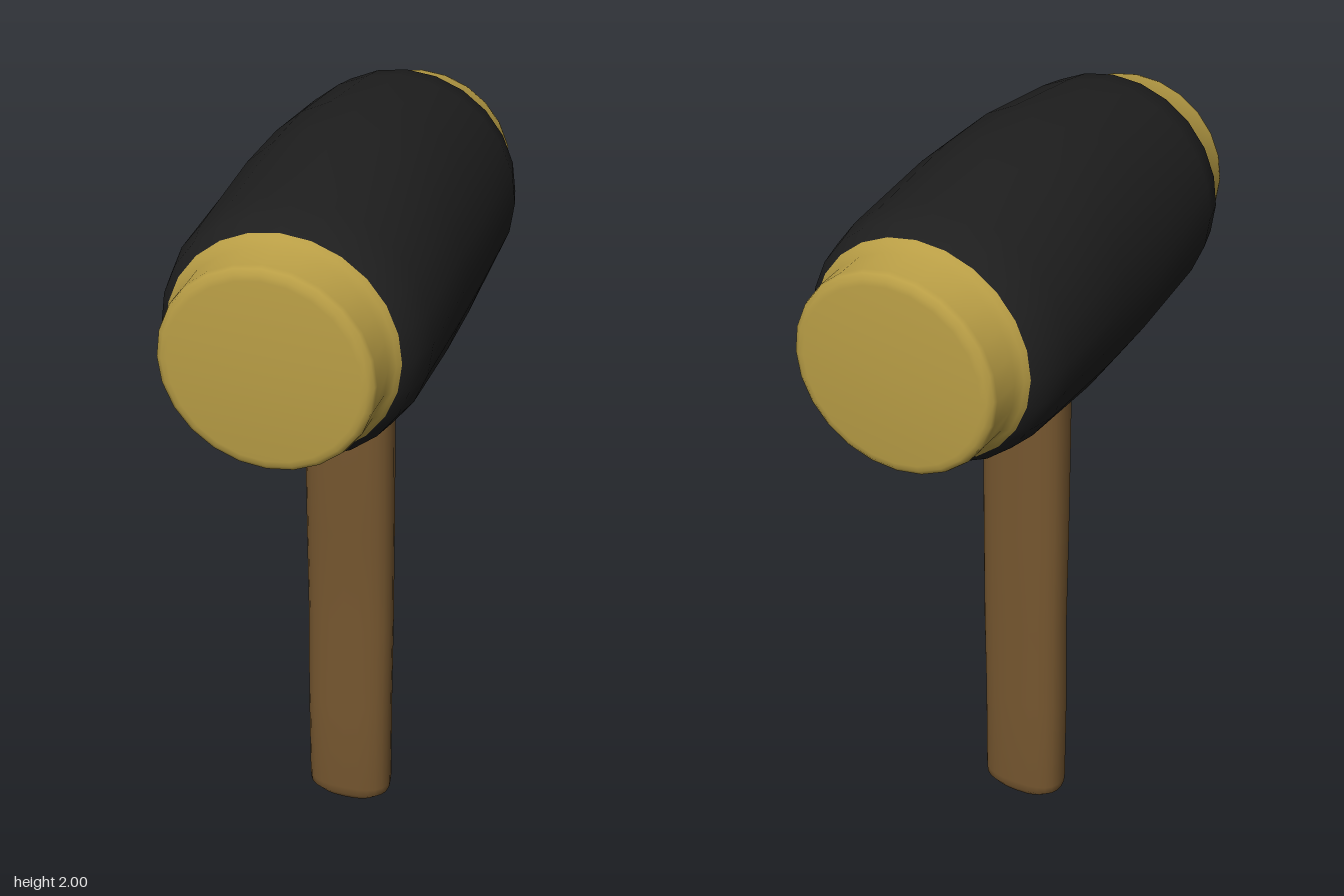
import * as THREE from 'three';
import { toCreasedNormals } from 'three/addons/utils/BufferGeometryUtils.js';

// Loft along z through rings [z, rx, ry, offsetY]; power 2 = ellipse, higher = boxier.
function loft(rings, sides, power, crease) {
  const positions = [], index = [];
  const curve = (c) => Math.sign(c) * Math.pow(Math.abs(c), 2 / power);
  for (const [z, rx, ry, oy = 0] of rings) {
    for (let j = 0; j < sides; j++) {
      const a = (j / sides) * Math.PI * 2;
      positions.push(rx * curve(Math.cos(a)), ry * curve(Math.sin(a)) + oy, z);
    }
  }
  for (let i = 0; i < rings.length - 1; i++) {
    for (let j = 0; j < sides; j++) {
      const k = (j + 1) % sides;
      const a = i * sides + j, b = i * sides + k, c = b + sides, d = a + sides;
      if (rings[i][1] > 0) index.push(a, b, d);
      if (rings[i + 1][1] > 0) index.push(b, c, d);
      else if (rings[i][1] > 0) index[index.length - 1] = d;
    }
  }
  const geometry = new THREE.BufferGeometry();
  geometry.setAttribute('position', new THREE.Float32BufferAttribute(positions, 3));
  geometry.setIndex(index);
  return toCreasedNormals(geometry, crease);
}

function part(name, geometry, color) {
  const mesh = new THREE.Mesh(geometry, new THREE.MeshStandardMaterial({ color }));
  mesh.name = name;
  return mesh;
}

export function createModel() {
  const model = new THREE.Group();
  model.name = 'mallet';
  const headY = 1.6625;

  // Barrel-shaped head, mirrored front to back
  const half = [[0.1, 0.305, 0.3375], [0.39, 0.305, 0.298], [0.468, 0.288, 0.286], [0.497, 0.266, 0.264]];
  const back = half.map(([z, rx, ry]) => [-z, rx, ry]).reverse();
  const head = part('head', loft([...back, ...half], 24, 2, 0.8), 0x1e1e1e);
  head.position.y = headY;
  model.add(head);

  // Striking caps at both ends
  const capRings = [
    [0.497, 0.266, 0.264], [0.51, 0.257, 0.256], [0.528, 0.245, 0.243], [0.602, 0.243, 0.24],
    [0.614, 0.24, 0.236], [0.622, 0.228, 0.225], [0.624, 0.215, 0.212], [0.624, 0, 0],
  ];
  const capGeometry = loft(capRings, 24, 2, 1.0);
  for (const [name, turn] of [['frontCap', 0], ['backCap', Math.PI]]) {
    const cap = part(name, capGeometry, 0xb89d45);
    cap.position.y = headY;
    cap.rotation.y = turn;
    model.add(cap);
  }

  // Flattened wooden handle with a slightly wavy side and rounded foot
  const handleRings = [
    [0, 0, 0], [0.006, 0.05, 0.035], [0.016, 0.085, 0.054], [0.036, 0.112, 0.066],
    [0.06, 0.114, 0.068], [0.35, 0.114, 0.069, 0.003], [0.6, 0.114, 0.064, -0.003],
    [0.9, 0.114, 0.068, 0.002], [1.2, 0.113, 0.07, 0.006], [1.42, 0.113, 0.068, 0.004],
  ];
  const handleGeometry = loft(handleRings, 24, 2.6, 1.0);
  // Stand the loft upright: its length becomes y, its offset becomes z
  handleGeometry.rotateX(-Math.PI / 2).rotateY(Math.PI);
  model.add(part('handle', handleGeometry, 0x75562f));

  return model;
}
